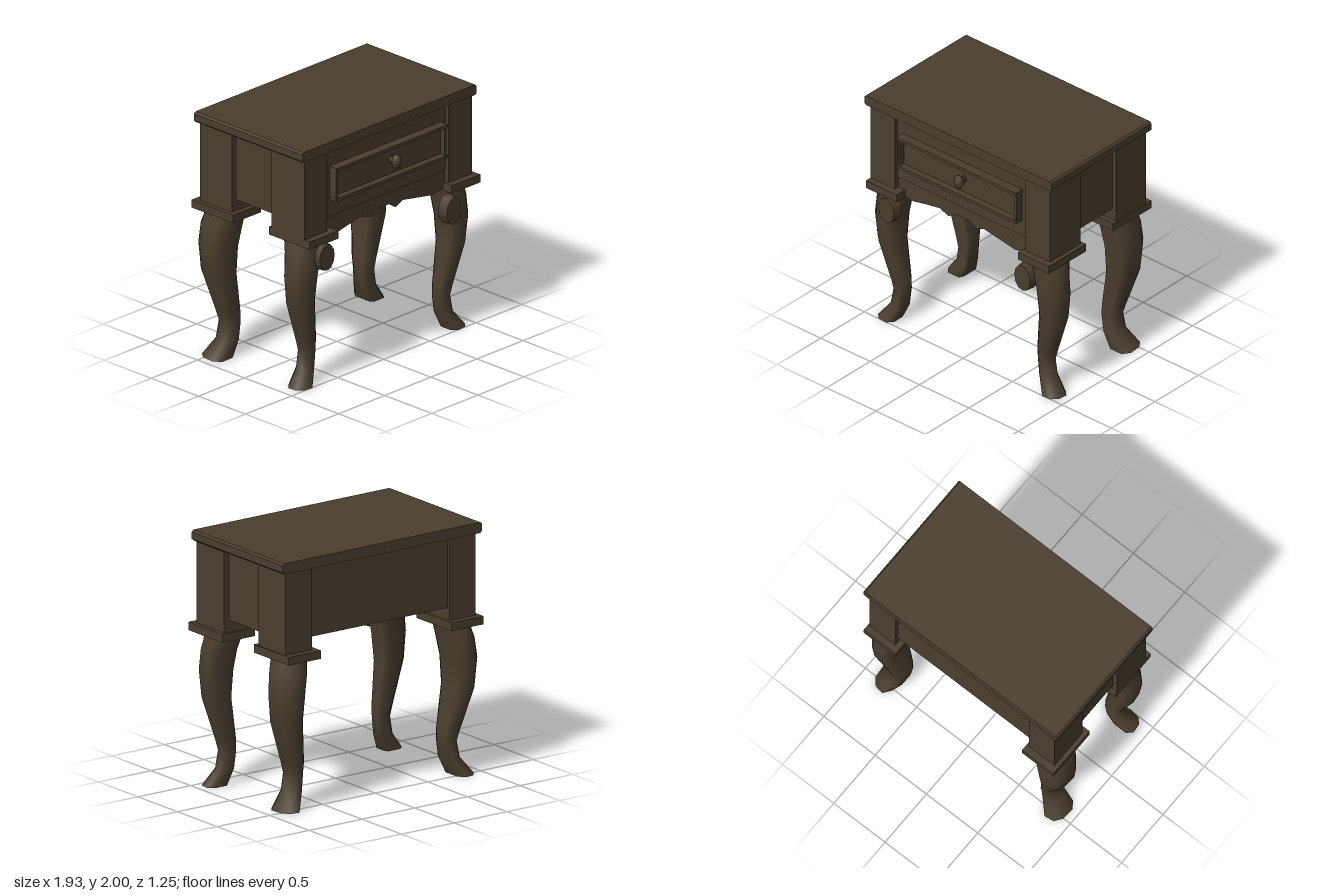
import * as THREE from 'three';

export function createModel() {
  const model = new THREE.Group();
  const wood = new THREE.MeshStandardMaterial({ color: 0x4a3e2f });
  wood.name = 'darkWood';

  function add(name, geometry) {
    const mesh = new THREE.Mesh(geometry, wood);
    mesh.name = name;
    model.add(mesh);
    return mesh;
  }

  // Box given by its limits on each axis
  function box(name, x0, x1, y0, y1, z0, z1) {
    const g = new THREE.BoxGeometry(x1 - x0, y1 - y0, z1 - z0);
    g.translate((x0 + x1) / 2, (y0 + y1) / 2, (z0 + z1) / 2);
    return add(name, g);
  }

  // Outline in x and y, pushed from z0 to z1
  function plate(name, points, z0, z1) {
    const shape = new THREE.Shape(points.map(p => new THREE.Vector2(p[0], p[1])));
    const g = new THREE.ExtrudeGeometry(shape, { depth: z1 - z0, bevelEnabled: false });
    return add(name, g.translate(0, 0, z0));
  }

  // Table top with softened ends
  plate('tableTop', [
    [-0.93, 1.915], [0.93, 1.915], [0.945, 1.93], [0.945, 1.985], [0.93, 2],
    [-0.93, 2], [-0.945, 1.985], [-0.945, 1.93]
  ], -0.59, 0.56);

  // Closed case and scalloped apron
  box('case', -0.86, 0.87, 1.36, 1.92, -0.54, 0.51);
  plate('apron', [
    [-0.68, 1.37], [-0.68, 1.22], [-0.58, 1.205], [-0.5, 1.2], [-0.38, 1.225],
    [-0.235, 1.25], [-0.15, 1.215], [-0.07, 1.26], [0.07, 1.26], [0.13, 1.215],
    [0.21, 1.25], [0.38, 1.22], [0.52, 1.195], [0.6, 1.205], [0.68, 1.22], [0.68, 1.37]
  ], 0.46, 0.5);

  // Drawer front with its raised frame
  box('drawerPanel', -0.59, 0.6, 1.51, 1.765, 0.5, 0.53);
  box('drawerTopRail', -0.6, 0.61, 1.75, 1.775, 0.5, 0.585);
  box('drawerBottomRail', -0.6, 0.61, 1.5, 1.525, 0.5, 0.585);
  box('drawerStile', -0.595, -0.573, 1.525, 1.75, 0.5, 0.575);
  box('drawerStile', 0.583, 0.605, 1.525, 1.75, 0.5, 0.575);

  // Knob turned around the z axis
  const knobProfile = [[0, 0], [0.02, 0], [0.02, 0.04], [0.04, 0.055], [0.042, 0.075], [0.025, 0.095], [0, 0.1]]
    .map(p => new THREE.Vector2(p[0], p[1]));
  const knob = add('knob', new THREE.LatheGeometry(knobProfile, 12).rotateX(Math.PI / 2));
  knob.scale.y = 1.4;
  knob.position.set(0.04, 1.645, 0.53);

  // Leg levels: height, inner and outer x, inner and outer z (front, back)
  const levels = [
    [0, 0.765, 0.94, 0.335, 0.505, 0.34, 0.575],
    [0.13, 0.705, 0.84, 0.33, 0.455, 0.337, 0.51],
    [0.27, 0.688, 0.815, 0.328, 0.45, 0.335, 0.5],
    [0.36, 0.69, 0.84, 0.325, 0.46, 0.332, 0.52],
    [0.7, 0.738, 0.947, 0.312, 0.51, 0.322, 0.59],
    [0.92, 0.725, 0.965, 0.3, 0.535, 0.315, 0.61],
    [1.08, 0.7, 0.945, 0.285, 0.542, 0.295, 0.605],
    [1.22, 0.68, 0.905, 0.24, 0.545, 0.275, 0.565]
  ];
  // Section of the leg, from the inner corner (0, 0) to the outer corner (1, 1)
  const section = [[0, 0.15], [0.1, 0], [0.75, 0], [1, 0.25], [0.95, 0.7], [0.7, 0.95], [0.25, 1], [0, 0.75]];

  function legGeometry(sx, sz, shift) {
    const n = section.length, pos = [], index = [];
    const tri = (a, b, c) => (sx * sz > 0 ? index.push(a, b, c) : index.push(a, c, b));
    const ring = level => {
      const [y, x0, x1] = level;
      const [z0, z1] = sz > 0 ? level.slice(3, 5) : level.slice(5, 7);
      for (const [u, v] of section) {
        pos.push(sx * (x0 + (x1 - x0) * u) + shift, y, sz * (z0 + (z1 - z0) * v));
      }
    };
    levels.forEach(ring);
    for (let i = 0; i < levels.length - 1; i++) {
      for (let j = 0; j < n; j++) {
        const a = i * n + j, b = i * n + (j + 1) % n;
        tri(a, a + n, b);
        tri(b, a + n, b + n);
      }
    }
    // Sole has its own ring so its edge stays sharp
    const sole = levels.length * n;
    ring(levels[0]);
    for (let j = 1; j < n - 1; j++) tri(sole, sole + j, sole + j + 1);
    const g = new THREE.BufferGeometry();
    g.setAttribute('position', new THREE.Float32BufferAttribute(pos, 3));
    g.setIndex(index);
    g.computeVertexNormals();
    return g;
  }

  // Corner posts, collars and curved legs
  const corners = [
    { name: 'frontRight', sx: -1, sz: 1, post: [-0.9, -0.655], collar: [-0.9, -0.59], shift: 0.03 },
    { name: 'frontLeft', sx: 1, sz: 1, post: [0.66, 0.915], collar: [0.64, 0.95], shift: -0.003 },
    { name: 'backRight', sx: -1, sz: -1, post: [-0.9, -0.655], collar: [-0.935, -0.63], shift: 0 },
    { name: 'backLeft', sx: 1, sz: -1, post: [0.65, 0.905], collar: [0.605, 0.915], shift: -0.035 }
  ];
  for (const c of corners) {
    const front = c.sz > 0;
    box(c.name + 'Post', c.post[0], c.post[1], 1.23, 1.92, front ? 0.19 : -0.57, front ? 0.54 : -0.23);
    box(c.name + 'Collar', c.collar[0], c.collar[1], 1.2, 1.265, front ? 0.165 : -0.625, front ? 0.595 : -0.185);
    add(c.name + 'Leg', legGeometry(c.sx, c.sz, c.shift));
  }

  // Oval ears on the front knees
  for (const [x, y, r] of [[-0.702, 1.075, 0.117], [0.675, 1.045, 0.122]]) {
    const ear = add('kneeEar', new THREE.CylinderGeometry(0.92, 1, 0.085, 12).rotateX(Math.PI / 2));
    ear.scale.set(0.087, r, 1);
    ear.position.set(x, y, 0.545);
  }

  return model;
}
